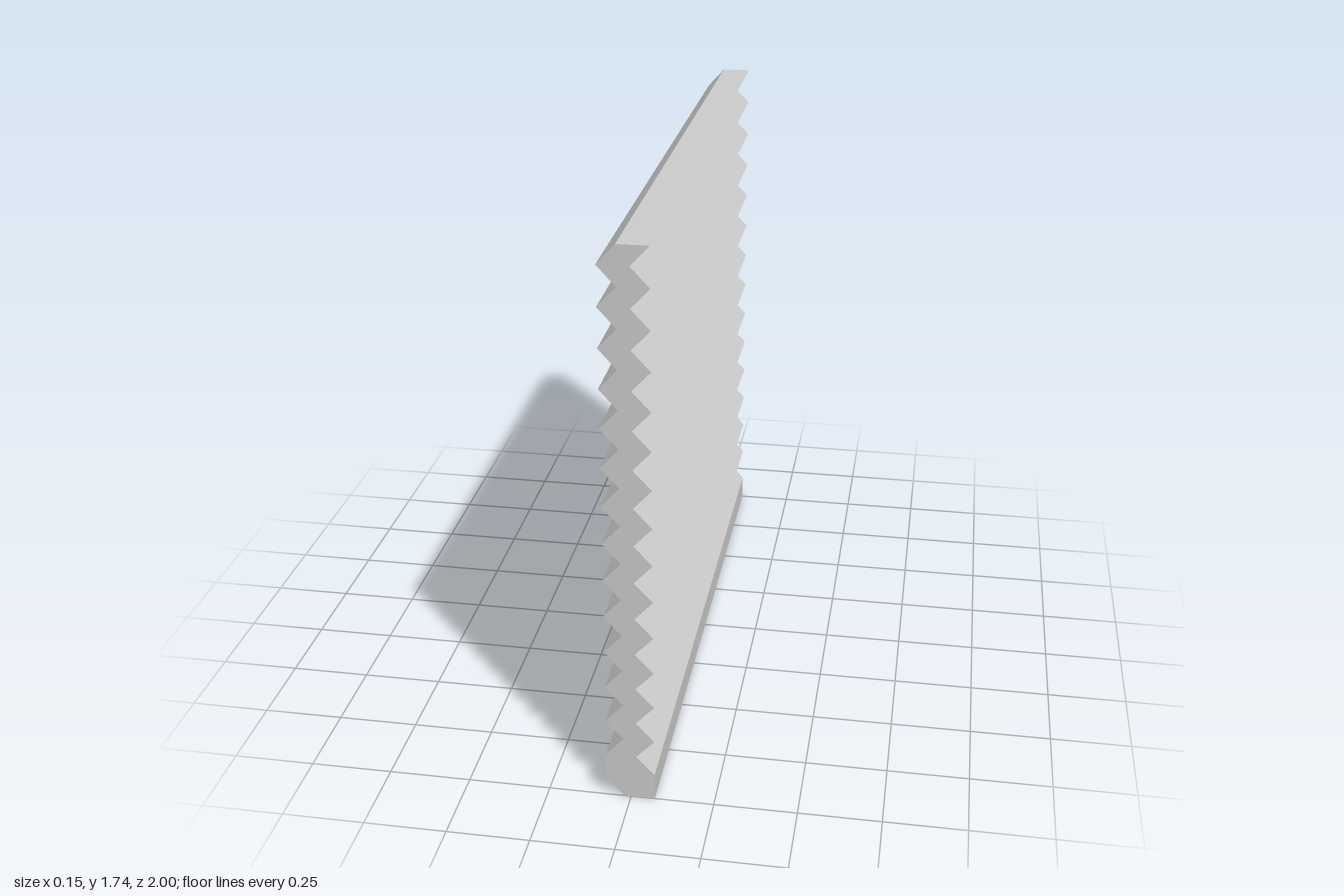
import * as THREE from 'three';

const LENGTH = 2, TOP = 1.74, BASE = 0.085, FOLDS = 14;
const PITCH = (TOP - BASE) / FOLDS;

export function createModel() {
  const group = new THREE.Group();
  group.name = 'corrugatedPanel';

  // Zigzag cross-section, counter-clockwise: base, up the left face, down the right face
  const points = [[-0.02, 0], [0.072, 0], [0.072, BASE]];
  for (let i = 0; i < FOLDS; i++) {
    const y = BASE + i * PITCH;
    points.push([0.017, y + PITCH / 2], [0.072, y + PITCH]);
  }
  for (let i = FOLDS; i > 0; i--) {
    const y = BASE + i * PITCH;
    points.push([-0.02, y], [-0.074, y - PITCH / 2]);
  }
  points.push([-0.074, 0.06]);

  // Extrude the section along the panel's length
  const shape = new THREE.Shape(points.map(([x, y]) => new THREE.Vector2(x, y)));
  const geometry = new THREE.ExtrudeGeometry(shape, { depth: LENGTH, bevelEnabled: false });
  geometry.translate(0, 0, -LENGTH / 2);

  const panel = new THREE.Mesh(
    geometry,
    new THREE.MeshStandardMaterial({ color: 0xcccccc, flatShading: true })
  );
  panel.name = 'pleatedPanel';
  group.add(panel);
  return group;
}
